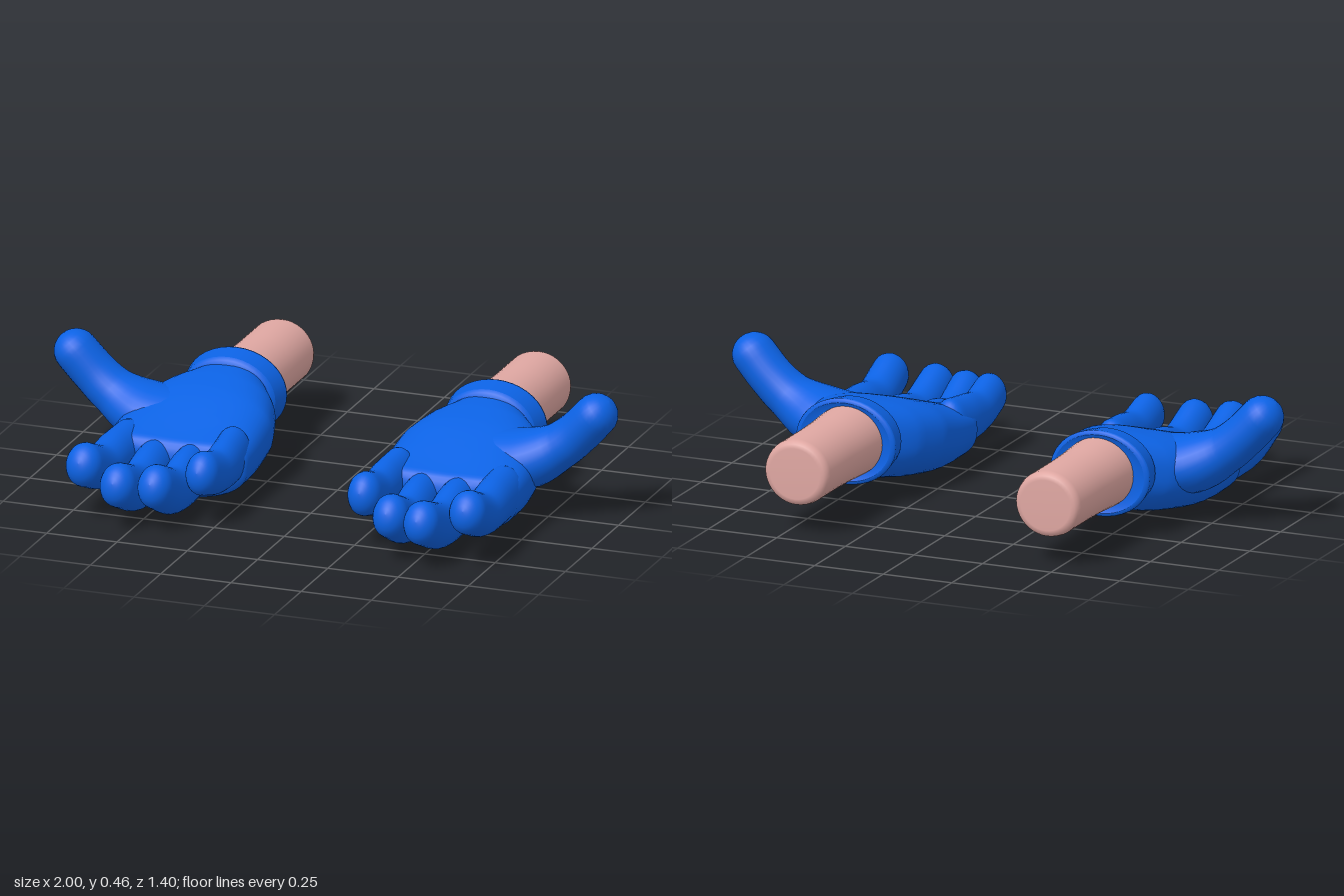
import * as THREE from 'three';

const glove = new THREE.MeshStandardMaterial({ color: 0x0c62e4 });
glove.name = 'blue glove';
const skin = new THREE.MeshStandardMaterial({ color: 0xdfa7a2 });
skin.name = 'skin';

// Smooth limb through sections [x, y, z, halfWidth, halfHeight] with domed ends.
// power < 1 squares the section; cup hollows its upper side.
function limb(sections, { startCap = 0.05, endCap = 0.06, power = 1, cup = 0, rings = 18, sides = 28 } = {}) {
  const path = new THREE.CatmullRomCurve3(sections.map(s => new THREE.Vector3(s[0], s[1], s[2])));
  const size = new THREE.CatmullRomCurve3(sections.map(s => new THREE.Vector3(s[3], s[4], 0)));
  const stations = [];
  const caps = 6;
  for (let i = caps; i > 0; i--) stations.push([0, -startCap, (i / caps) * Math.PI / 2]);
  for (let i = 0; i <= rings; i++) stations.push([i / rings, 0, 0]);
  for (let i = 1; i <= caps; i++) stations.push([1, endCap, (i / caps) * Math.PI / 2]);

  const up = new THREE.Vector3(0, 1, 0);
  const positions = [], index = [];
  const bend = v => Math.sign(v) * Math.pow(Math.abs(v), power);
  stations.forEach(([t, cap, angle], i) => {
    const tangent = path.getTangent(t);
    const across = up.clone().cross(tangent).normalize();
    const normal = tangent.clone().cross(across);
    const centre = path.getPoint(t).addScaledVector(tangent, cap * Math.sin(angle));
    const r = size.getPoint(t).multiplyScalar(Math.cos(angle));
    for (let j = 0; j < sides; j++) {
      const a = (j / sides) * Math.PI * 2;
      const u = bend(Math.cos(a));
      let v = bend(Math.sin(a)) * r.y;
      if (v > 0) v -= cup * (1 - u * u) * Math.cos(angle) * t;
      const p = centre.clone().addScaledVector(across, u * r.x).addScaledVector(normal, v);
      positions.push(p.x, p.y, p.z);
      if (i < stations.length - 1) {
        const k = (j + 1) % sides, m = i * sides, n = m + sides;
        index.push(m + j, m + k, n + j, m + k, n + k, n + j);
      }
    }
  });
  const g = new THREE.BufferGeometry();
  g.setAttribute('position', new THREE.Float32BufferAttribute(positions, 3));
  g.setIndex(index);
  g.computeVertexNormals();
  return g;
}

// Turned part lying along z, from [radius, z] points
function turned(points, flatten) {
  const g = new THREE.LatheGeometry(points.map(p => new THREE.Vector2(p[0], p[1])), 40);
  g.rotateX(Math.PI / 2);
  g.scale(1, flatten, 1);
  return g;
}

const fingers = {
  littleFinger: [[0.295, 0.17, 0.2, 0.06, 0.09], [0.287, 0.165, 0.3, 0.06, 0.085], [0.286, 0.165, 0.4, 0.058, 0.075], [0.288, 0.195, 0.505, 0.057, 0.075]],
  ringFinger: [[0.41, 0.12, 0.2, 0.066, 0.09], [0.411, 0.115, 0.32, 0.065, 0.095], [0.413, 0.105, 0.46, 0.062, 0.08], [0.418, 0.165, 0.605, 0.06, 0.075]],
  middleFinger: [[0.54, 0.12, 0.2, 0.068, 0.09], [0.54, 0.115, 0.32, 0.067, 0.095], [0.54, 0.105, 0.47, 0.063, 0.08], [0.54, 0.165, 0.635, 0.061, 0.075]],
  indexFinger: [[0.665, 0.15, 0.2, 0.07, 0.09], [0.673, 0.15, 0.32, 0.068, 0.085], [0.677, 0.15, 0.44, 0.066, 0.075], [0.682, 0.2, 0.575, 0.063, 0.075]],
};

const palm = [
  [0.46, 0.215, -0.2, 0.145, 0.12],
  [0.465, 0.2, -0.12, 0.205, 0.14],
  [0.475, 0.18, 0, 0.25, 0.15],
  [0.48, 0.155, 0.13, 0.258, 0.148],
  [0.48, 0.142, 0.26, 0.258, 0.132],
];

const thumb = [
  [0.56, 0.19, 0, 0.15, 0.1],
  [0.69, 0.21, 0.01, 0.135, 0.1],
  [0.795, 0.265, 0.01, 0.088, 0.08],
  [0.86, 0.32, 0.01, 0.08, 0.075],
  [0.925, 0.39, 0.015, 0.08, 0.074],
];

function createHand(side) {
  const hand = new THREE.Group();
  hand.name = side > 0 ? 'leftHand' : 'rightHand';
  const add = (name, geometry, material) => {
    const mesh = new THREE.Mesh(geometry, material);
    mesh.name = name;
    hand.add(mesh);
    return mesh;
  };
  const mirrored = list => list.map(([x, ...rest]) => [x * side, ...rest]);

  // Gloved palm, cupped towards the fingers
  add('palm', limb(mirrored(palm), { endCap: 0.05, power: 0.85, cup: 0.055, sides: 48, rings: 24 }), glove);
  add('thumb', limb(mirrored(thumb), { endCap: 0.073 }), glove);
  for (const [name, sections] of Object.entries(fingers)) {
    add(name, limb(mirrored(sections), { endCap: 0.06 }), glove);
  }

  // Flared cuff
  const cuff = add('cuff', turned([
    [0, -0.265], [0.125, -0.265], [0.165, -0.28], [0.165, -0.28], [0.178, -0.278], [0.181, -0.268], [0.181, -0.268],
    [0.168, -0.195], [0.168, -0.195], [0.158, -0.182], [0.13, -0.17], [0, -0.165],
  ], 0.82), glove);
  cuff.position.set(0.463 * side, 0.217, 0);

  // Forearm with a rounded end
  const arm = add('forearm', turned([
    [0, -0.7], [0.09, -0.7], [0.104, -0.696], [0.113, -0.686], [0.117, -0.67],
    [0.117, -0.5], [0.119, -0.4], [0.125, -0.29], [0.125, -0.24],
  ], 0.97), skin);
  arm.position.set(0.457 * side, 0.219, 0);
  return hand;
}

export function createModel() {
  const model = new THREE.Group();
  model.name = 'glovedHands';
  model.add(createHand(1), createHand(-1));
  return model;
}
